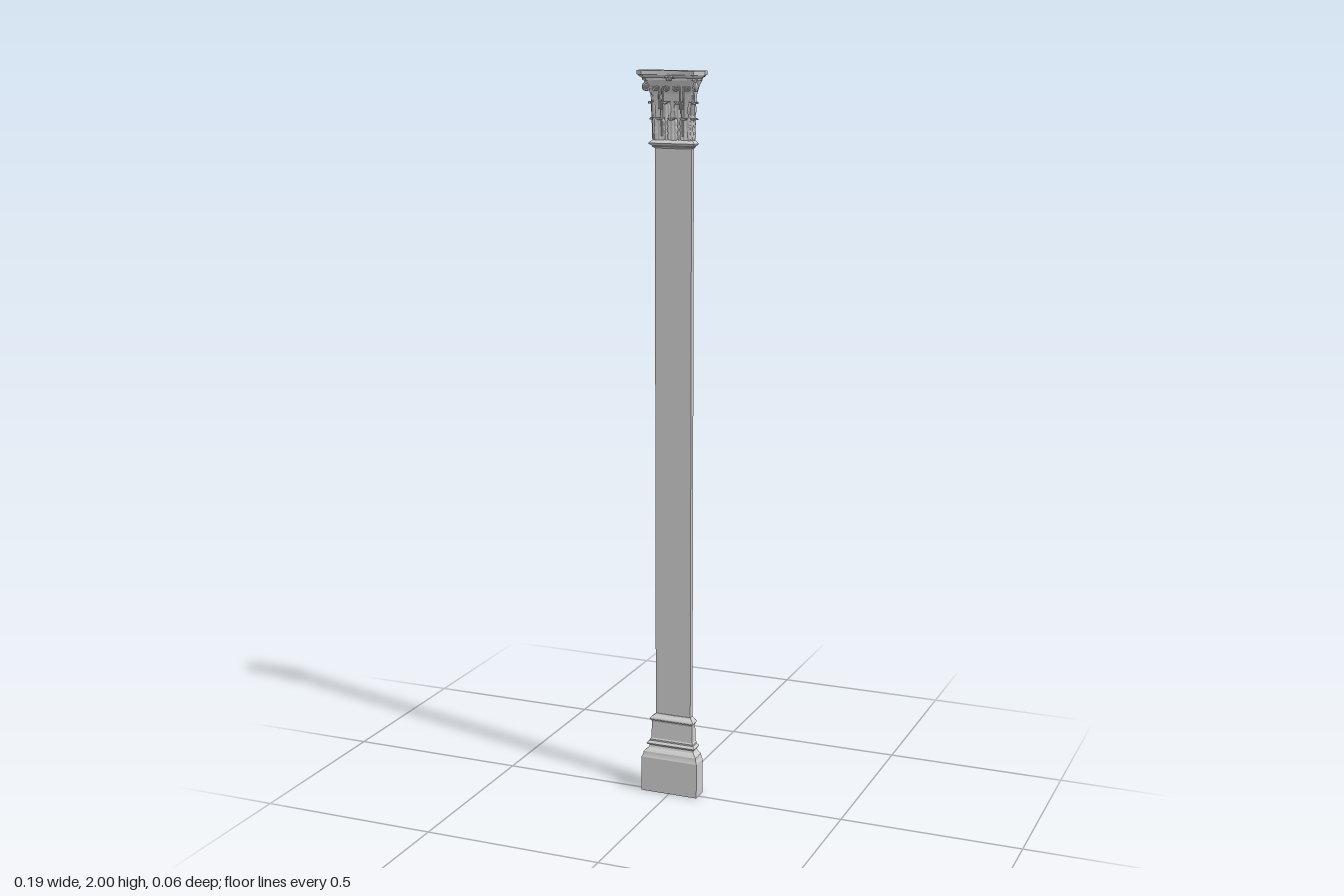
import * as THREE from 'three';

const HALF = 0.052, FRONT = -0.013, BACK = -0.03;
const stone = new THREE.MeshStandardMaterial({ color: 0xcccccc, flatShading: true });
const thin = new THREE.MeshStandardMaterial({ color: 0xcccccc, side: THREE.DoubleSide });

function add(parent, name, geometry, material = stone) {
  const mesh = new THREE.Mesh(geometry, material);
  mesh.name = name;
  parent.add(mesh);
  return mesh;
}

// Loft a stack of outlines [[x, z], ...] at given heights into a closed solid
function loft(layers) {
  const pos = [];
  const tri = (...pts) => pts.forEach(p => pos.push(...p));
  const rings = layers.map(([outline, y]) => outline.map(([x, z]) => [x, y, z]));
  const n = rings[0].length;
  for (let k = 0; k + 1 < rings.length; k++) {
    const a = rings[k], b = rings[k + 1];
    for (let i = 0; i < n; i++) {
      const j = (i + 1) % n;
      tri(a[i], a[j], b[j]);
      tri(a[i], b[j], b[i]);
    }
  }
  const lo = rings[0], hi = rings[rings.length - 1];
  for (let i = 0; i < n; i++) {
    const j = (i + 1) % n;
    tri([0, hi[0][1], -0.01], hi[i], hi[j]);
    tri([0, lo[0][1], -0.01], lo[j], lo[i]);
  }
  const g = new THREE.BufferGeometry();
  g.setAttribute('position', new THREE.Float32BufferAttribute(pos, 3));
  g.computeVertexNormals();
  return g;
}

// Moulding: profile of [projection, y] carried round the front and sides, flat at the back
const section = d => [[-HALF - d, BACK], [-HALF - d, FRONT + d], [HALF + d, FRONT + d], [HALF + d, BACK]];
const moulding = profile => loft(profile.map(([d, y]) => [section(d), y]));

// Half-round bead profile between two heights
function bead(d, r, y0, y1, steps = 8) {
  return Array.from({ length: steps + 1 }, (_, i) => {
    const t = i / steps;
    return [d + r * Math.sin(Math.PI * t), y0 + (y1 - y0) * t];
  });
}

// Abacus outline: concave front, cut corners, slightly splayed sides
function abacusOutline(s) {
  const pts = [[-0.089 + s, BACK], [-0.096 + s, 0.004 - s * 0.4]];
  for (let i = 0; i <= 16; i++) {
    const u = i / 8 - 1;
    pts.push([u * (0.073 - s * 0.6), 0.018 + 0.01 * u * u - s]);
  }
  pts.push([0.096 - s, 0.004 - s * 0.4], [0.089 - s, BACK]);
  return pts;
}

// Acanthus leaf: lobed, ribbed sheet whose tip curls outwards
function leafGeometry(halfWidth, height, lean, curl) {
  const g = new THREE.PlaneGeometry(2, 1, 12, 28);
  const p = g.attributes.position;
  for (let i = 0; i < p.count; i++) {
    const u = p.getX(i), v = p.getY(i) + 0.5;
    const lobes = 0.78 + 0.22 * Math.abs(Math.sin(v * Math.PI * 4));
    const taper = v < 0.6 ? 1 : Math.sqrt(Math.max(0.04, 1 - ((v - 0.6) / 0.42) ** 2));
    const t = Math.min(v / 0.75, 1);
    const a = Math.max(0, (v - 0.75) / 0.25) * Math.PI * 1.1;
    const ribs = 0.0016 * Math.cos(u * Math.PI * 3) - 0.003 * u * u;
    p.setXYZ(i,
      u * halfWidth * lobes * taper,
      t * (height - curl) + curl * Math.sin(a),
      0.004 + lean * t * t + curl * (1 - Math.cos(a)) + ribs);
  }
  g.computeVertexNormals();
  return g;
}

// Scroll: a stalk rising from the bell and winding into a spiral in the XY plane
function scrollGeometry(start, cx, cy, radius, tube, turns = 2) {
  const pts = [new THREE.Vector3(start[0], start[1], 0),
    new THREE.Vector3(start[0] + 0.001, (start[1] + cy) / 2, 0)];
  for (let i = 0; i <= 32; i++) {
    const t = i / 32, a = Math.PI * (0.9 - 2 * turns * t), r = radius * (1 - 0.85 * t);
    pts.push(new THREE.Vector3(cx + r * Math.cos(a), cy + r * Math.sin(a), 0));
  }
  return new THREE.TubeGeometry(new THREE.CatmullRomCurve3(pts), 90, tube, 6);
}

function buildCapital() {
  const capital = new THREE.Group();
  capital.name = 'capital';

  add(capital, 'astragal', moulding([[0, 1.798], [0.006, 1.803], ...bead(0.006, 0.007, 1.805, 1.818), [0.003, 1.822]]));
  add(capital, 'bell', moulding([[0.003, 1.82], [0.003, 1.87], [0.005, 1.91], [0.009, 1.94], [0.016, 1.962], [0.023, 1.975], [0.023, 1.98]]));
  add(capital, 'abacus', loft([[0.014, 1.974], [0.012, 1.981], [0.005, 1.985], [0.003, 1.988], [0, 1.989], [0, 2]]
    .map(([s, y]) => [abacusOutline(s), y])));

  const placeLeaf = (name, geo, x, z, angle) => {
    const leaf = add(capital, name, geo, thin);
    leaf.position.set(x, 1.82, z);
    leaf.rotation.y = angle;
  };

  // Lower and upper rows of leaves on the front
  const lower = leafGeometry(0.017, 0.058, 0.003, 0.0045);
  const upper = leafGeometry(0.016, 0.1, 0.005, 0.005);
  for (const x of [-0.035, 0, 0.035]) placeLeaf('lowerLeaf', lower, x, FRONT + 0.002, 0);
  for (const x of [-0.018, 0.018]) placeLeaf('upperLeaf', upper, x, FRONT, 0);

  // Corner and side leaves, volutes and inner scrolls, mirrored
  const sideLower = leafGeometry(0.008, 0.058, 0.002, 0.0035);
  const sideUpper = leafGeometry(0.008, 0.1, 0.003, 0.004);
  const cornerLeaf = leafGeometry(0.013, 0.1, 0.004, 0.0045);
  const cornerLower = leafGeometry(0.012, 0.058, 0.001, 0.004);
  const volute = scrollGeometry([0.006, 1.885], 0.023, 1.957, 0.012, 0.0026);
  const helix = scrollGeometry([0.002, 1.9], 0.013, 1.955, 0.01, 0.002);
  for (const s of [-1, 1]) {
    placeLeaf('sideLowerLeaf', sideLower, s * (HALF + 0.001), -0.021, s * Math.PI / 2);
    placeLeaf('sideUpperLeaf', sideUpper, s * HALF, -0.021, s * Math.PI / 2);
    placeLeaf('cornerLeaf', cornerLeaf, s * HALF, FRONT, s * Math.PI / 4);
    placeLeaf('cornerLowerLeaf', cornerLower, s * HALF, FRONT, s * Math.PI / 4);

    const corner = new THREE.Group();
    corner.name = 'cornerVolute';
    corner.position.set(s * HALF, 0, FRONT);
    corner.rotation.y = s > 0 ? -Math.PI / 4 : -Math.PI * 3 / 4;
    const scroll = add(corner, 'volute', volute);
    scroll.scale.z = 2.2;
    const eye = add(corner, 'voluteEye', new THREE.SphereGeometry(0.0045, 10, 8));
    eye.position.set(0.023, 1.957, 0);
    eye.scale.z = 1.6;
    capital.add(corner);

    const inner = add(capital, 'innerScroll', helix, thin);
    inner.position.set(s * 0.027, 0, 0.001);
    inner.scale.x = -s;
    const outer = add(capital, 'outerScroll', helix, thin);
    outer.position.set(s * 0.031, 0, 0.001);
    outer.scale.x = s;
    // Sheath from which the scrolls spring
    const sheath = add(capital, 'stalk', new THREE.CylinderGeometry(0.005, 0.003, 0.09, 8));
    sheath.position.set(s * 0.029, 1.875, FRONT + 0.007);
    sheath.rotation.x = 0.06;
  }

  // Flower at the middle of the abacus
  const flower = new THREE.Group();
  flower.name = 'flower';
  flower.position.set(0, 1.984, 0.016);
  for (let i = 0; i < 6; i++) {
    const a = i * Math.PI / 3;
    const petal = add(flower, 'petal', new THREE.SphereGeometry(0.005, 8, 6));
    petal.scale.set(1, 0.7, 0.6);
    petal.rotation.z = a;
    petal.position.set(0.007 * Math.cos(a), 0.007 * Math.sin(a), 0);
  }
  add(flower, 'flowerCentre', new THREE.SphereGeometry(0.004, 8, 6));
  capital.add(flower);
  return capital;
}

export function createModel() {
  const group = new THREE.Group();
  group.name = 'pilaster';

  add(group, 'plinth', moulding([[0.031, 0], [0.031, 0.1], [0.029, 0.104]]));
  add(group, 'base', moulding([
    [0.029, 0.104], [0.027, 0.11], [0.026, 0.116], [0.021, 0.121], [0.015, 0.126], [0.013, 0.131],
    ...bead(0.013, 0.007, 0.132, 0.145), [0.013, 0.149], [0.01, 0.153],
    [0.008, 0.2], [0.009, 0.204], ...bead(0.009, 0.004, 0.205, 0.216), [0.004, 0.219], [0, 0.224],
  ]));
  add(group, 'shaft', moulding([[0, 0.22], [0, 1.8]]));
  group.add(buildCapital());
  return group;
}
